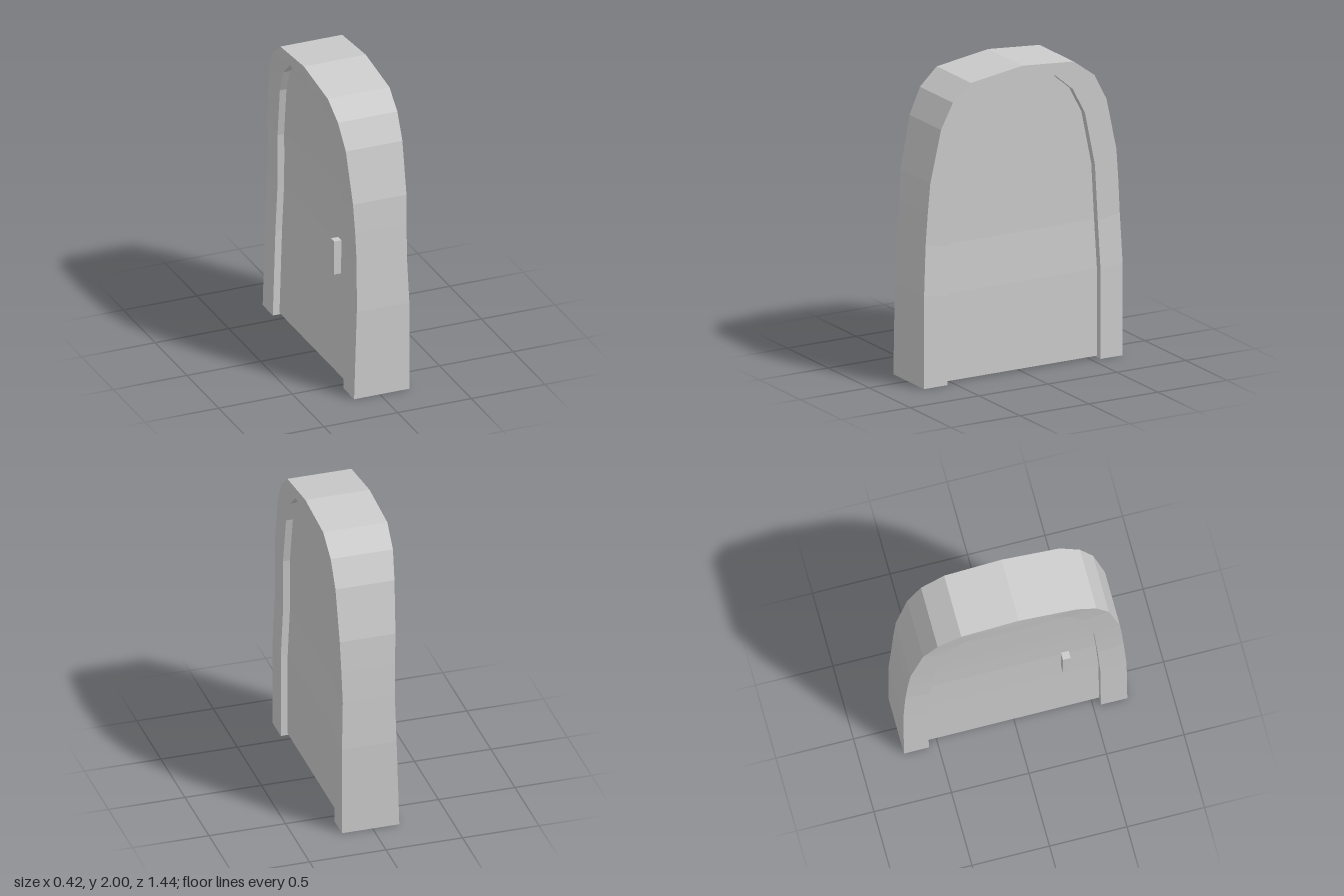
import * as THREE from 'three';

// Frame outline as [z, y], from the left foot over the arch to the right foot
const OUTER = [
  [0.72, 0], [0.72, 0.6], [0.703, 0.93], [0.69, 1.14], [0.675, 1.33], [0.6, 1.67], [0.515, 1.835], [0.385, 1.945],
  [0.01, 2],
  [-0.36, 1.97], [-0.51, 1.86], [-0.6, 1.69], [-0.675, 1.35], [-0.692, 1.14], [-0.705, 0.93], [-0.72, 0.6], [-0.72, 0],
];
const INNER = [
  [0.55, 0], [0.55, 0.58], [0.535, 0.9], [0.52, 1.13], [0.51, 1.28], [0.43, 1.62], [0.34, 1.79], [0.215, 1.9],
  [0, 1.9],
  [-0.225, 1.9], [-0.355, 1.79], [-0.445, 1.62], [-0.52, 1.27], [-0.53, 1.13], [-0.545, 0.9], [-0.56, 0.58], [-0.56, 0],
];

// Bowed faces: x of each side as a function of height
const BOW_POS = [[0, 0.2], [0.6, 0.2], [0.93, 0.19], [1.14, 0.195], [1.33, 0.2], [1.7, 0.205], [2, 0.21]];
const BOW_NEG = [[0, -0.175], [0.6, -0.157], [0.75, -0.15], [0.93, -0.15], [1.14, -0.155],
  [1.33, -0.163], [1.68, -0.18], [1.85, -0.198], [1.95, -0.21], [2, -0.21]];
const RECESS = 0.045;

function sample(table, y) {
  for (let i = 1; i < table.length; i++) {
    const [y0, x0] = table[i - 1], [y1, x1] = table[i];
    if (y <= y1) return x0 + (x1 - x0) * (y - y0) / (y1 - y0);
  }
  return table[table.length - 1][1];
}

// Four-cornered section between two outline points, spanning both bowed faces
function section([za, ya], [zb, yb], inset) {
  return [
    [sample(BOW_POS, ya) - inset, ya, za],
    [sample(BOW_POS, yb) - inset, yb, zb],
    [sample(BOW_NEG, yb) + inset, yb, zb],
    [sample(BOW_NEG, ya) + inset, ya, za],
  ];
}

// Flat-shaded skin over a row of sections, capped at both ends
function loft(sections) {
  const pos = [];
  const quad = (a, b, c, d) => pos.push(...a, ...b, ...c, ...a, ...c, ...d);
  for (let i = 0; i < sections.length - 1; i++) {
    const s = sections[i], t = sections[i + 1];
    for (let j = 0; j < 4; j++) {
      const k = (j + 1) % 4;
      quad(s[j], s[k], t[k], t[j]);
    }
  }
  const [a, b, c, d] = sections[0];
  quad(d, c, b, a);
  quad(...sections[sections.length - 1]);
  const geometry = new THREE.BufferGeometry();
  geometry.setAttribute('position', new THREE.Float32BufferAttribute(pos, 3));
  geometry.computeVertexNormals();
  return geometry;
}

export function createModel() {
  const group = new THREE.Group();
  group.name = 'archedDoor';
  const material = new THREE.MeshStandardMaterial({ color: 0xcccccc, flatShading: true });
  const add = (name, geometry) => {
    const mesh = new THREE.Mesh(geometry, material);
    mesh.name = name;
    group.add(mesh);
    return mesh;
  };

  // Arched frame
  add('doorFrame', loft(OUTER.map((p, i) => section(p, INNER[i], 0))));

  // Door panel, recessed on both faces
  const rows = [];
  for (let i = 0; i < 8; i++) {
    const left = [...INNER[i]], right = [...INNER[INNER.length - 1 - i]];
    if (i === 0) left[1] = right[1] = 0.01;
    rows.push(section(left, right, RECESS));
  }
  add('doorPanel', loft(rows));

  // Handle block on the -x face
  add('doorHandle', new THREE.BoxGeometry(0.06, 0.23, 0.05)).position.set(-0.125, 0.815, 0.335);

  return group;
}
